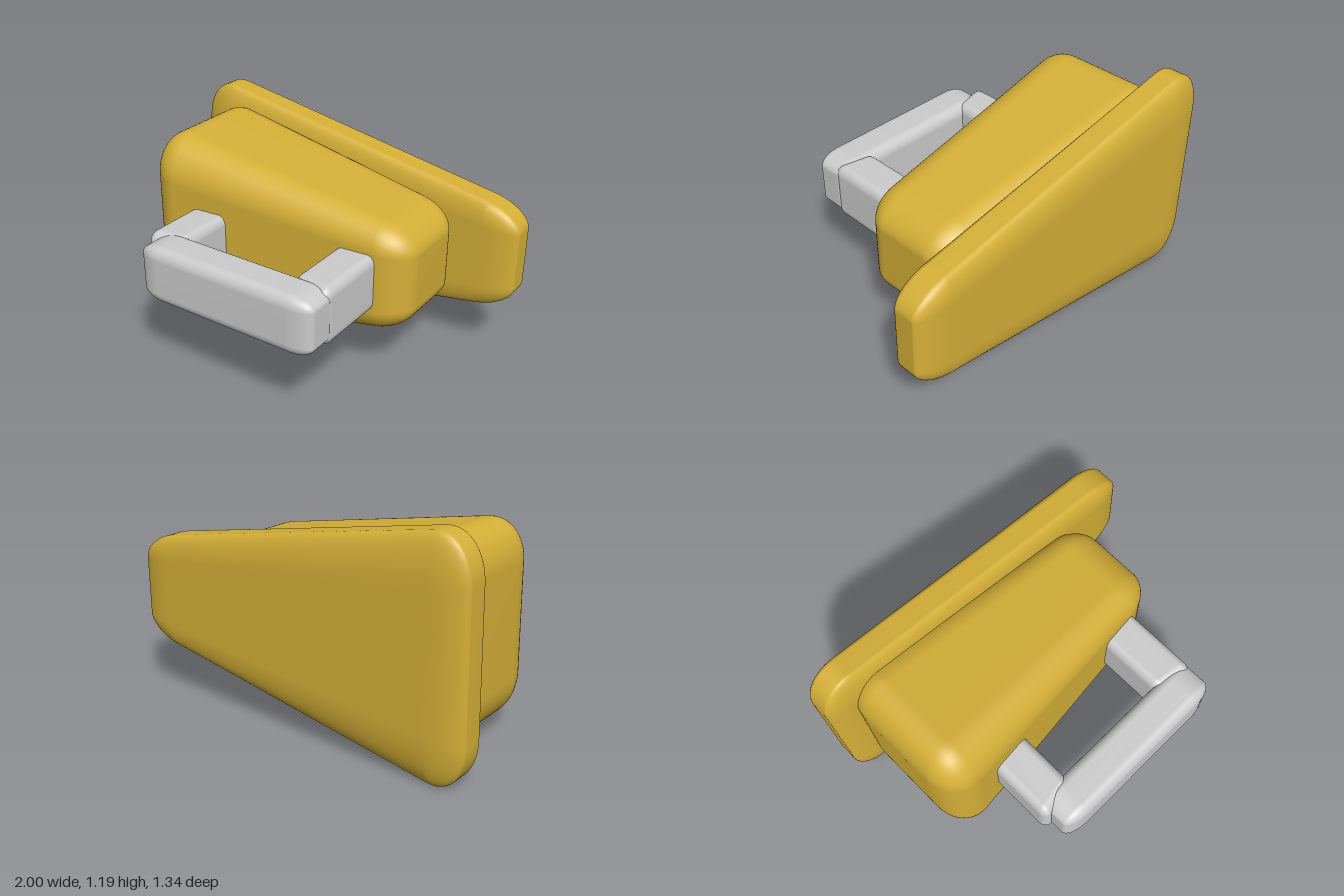
import * as THREE from 'three';
import { RoundedBoxGeometry } from 'three/addons/geometries/RoundedBoxGeometry.js';
import { mergeVertices } from 'three/addons/utils/BufferGeometryUtils.js';

const gold = new THREE.MeshStandardMaterial({ color: 0xd4af37 });
const grey = new THREE.MeshStandardMaterial({ color: 0xcccccc });
const lerp = THREE.MathUtils.lerp;

// Soft block spanning min..max, with a separate rounding fraction per axis.
// bend(v, t, u) may reshape it; t runs 0..1 along x and u holds the -1..1 position.
function softBlock(name, material, min, max, round, bend) {
  const box = new RoundedBoxGeometry(2, 2, 2, 8, 0.5);
  box.deleteAttribute('normal');
  box.deleteAttribute('uv');
  const geo = mergeVertices(box, 1e-5);
  geo.clearGroups();
  const pos = geo.attributes.position;
  const v = new THREE.Vector3();
  const u = new THREE.Vector3();
  for (let i = 0; i < pos.count; i++) {
    u.fromBufferAttribute(pos, i);
    for (let a = 0; a < 3; a++) {
      const p = u.getComponent(a);
      const m = Math.abs(p);
      const core = 1 - round[a];
      const q = m > 0.5 ? core + round[a] * (m - 0.5) / 0.5 : core * m / 0.5;
      u.setComponent(a, Math.sign(p) * q);
      v.setComponent(a, lerp(min[a], max[a], (u.getComponent(a) + 1) / 2));
    }
    if (bend) bend(v, (u.x + 1) / 2, u);
    pos.setXYZ(i, v.x, v.y, v.z);
  }
  geo.computeVertexNormals();
  const mesh = new THREE.Mesh(geo, material);
  mesh.name = name;
  return mesh;
}

export function createModel() {
  const group = new THREE.Group();
  group.name = 'wedgeWithHandle';
  const midY = 0.59;

  // Back plate, narrowing towards +x
  group.add(softBlock('backPlate', gold, [-1, 0, -0.67], [1, 1.18, -0.455], [0.2, 0.42, 0.55],
    (v, t, u) => { v.y = midY + u.y * lerp(0.628, 0.265, t); }));

  // Main body, narrowing in height and depth
  group.add(softBlock('body', gold, [-0.865, 0.1, -0.6], [0.68, 1.08, 0.23], [0.24, 0.46, 0.5],
    (v, t, u) => {
      v.y = midY + u.y * lerp(0.535, 0.268, t);
      v.z = -0.19 + u.z * lerp(0.42, 0.28, t);
    }));

  // Handle: two posts with tips sloping inwards, joined by a cross bar
  const handle = new THREE.Group();
  handle.name = 'handle';
  for (const [name, x, tip, side] of [['rightPost', -0.46, 0.55, -1], ['leftPost', 0.405, 0.525, 1]]) {
    handle.add(softBlock(name, grey, [x - 0.11, 0.435, -0.05], [x + 0.11, 0.75, tip], [0.4, 0.35, 0.2],
      (v, t, u) => { if (u.z > 0) v.z -= 0.025 * (1 - side * u.x) * u.z; }));
  }
  handle.add(softBlock('crossBar', grey, [-0.525, 0.435, 0.445], [0.515, 0.75, 0.667], [0.25, 0.4, 0.5]));
  group.add(handle);
  return group;
}
